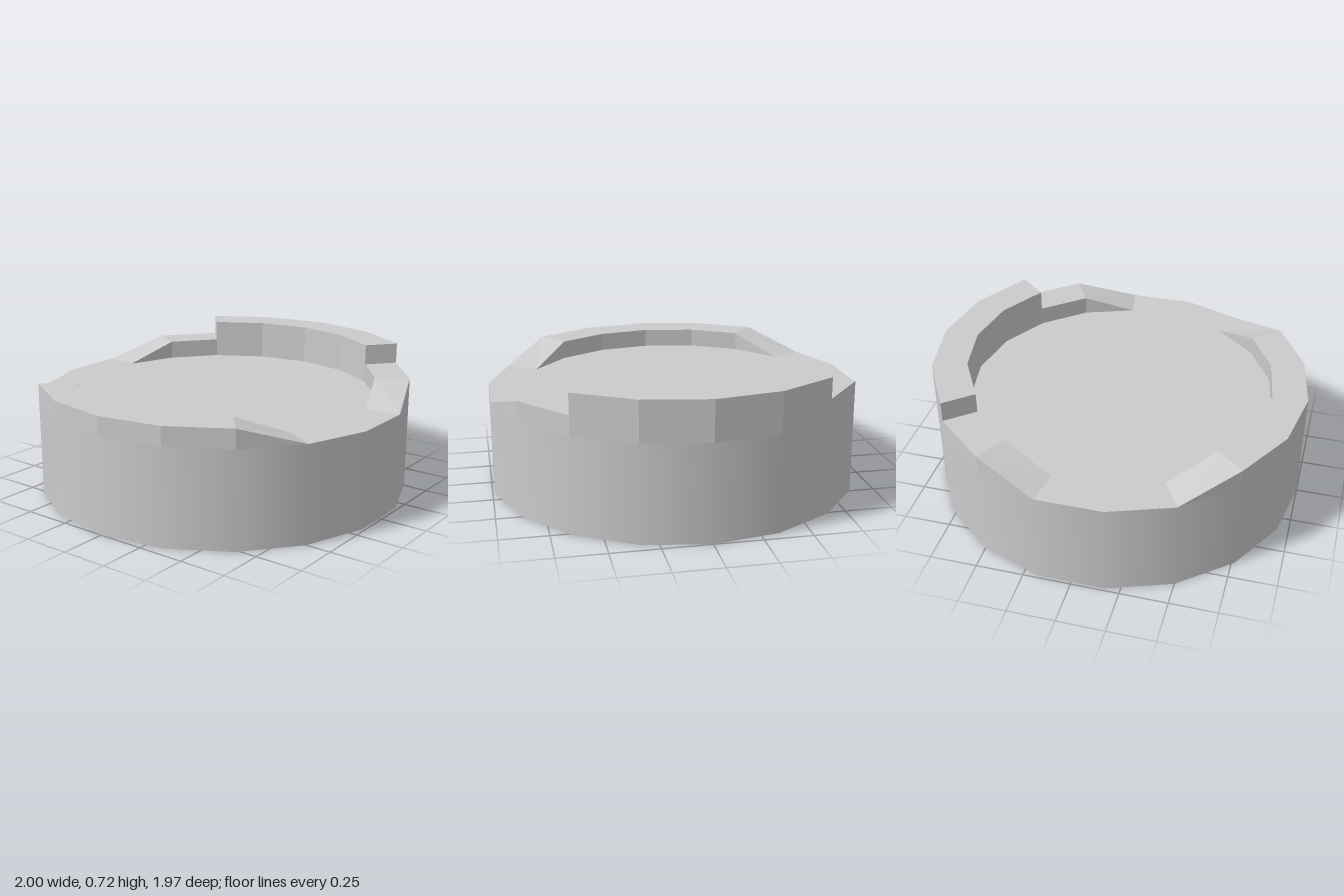
import * as THREE from 'three';

const SIDES = 18, OUTER = 1, INNER = 0.815;
const FLOOR = 0.51, LOW = 0.61, HIGH = 0.72;

// Point on the ring at side index i (20 degree steps from +x towards +z)
function at(i, r, y) {
  const a = (i / SIDES) * Math.PI * 2;
  return [r * Math.cos(a), y, r * Math.sin(a)];
}

// Rim strip from side index `start`; each segment is [height at its start, height at its end]
function rim(name, start, segments, capped, material) {
  const pos = [];
  const tri = (...pts) => pts.forEach((p) => pos.push(...p));
  const quad = (a, b, c, d) => { tri(a, b, c); tri(a, c, d); };
  segments.forEach(([h0, h1], k) => {
    const i = start + k, j = i + 1;
    const o0 = at(i, OUTER, h0), o1 = at(j, OUTER, h1);
    const n0 = at(i, INNER, h0), n1 = at(j, INNER, h1);
    const O0 = at(i, OUTER, FLOOR), O1 = at(j, OUTER, FLOOR);
    const N0 = at(i, INNER, FLOOR), N1 = at(j, INNER, FLOOR);
    // top
    tri(n0, o1, o0);
    tri(n0, n1, o1);
    // outer and inner walls; a ramp end tapers to a single triangle
    if (h1 === FLOOR) { tri(O0, o0, O1); tri(N0, N1, n0); }
    else if (h0 === FLOOR) { tri(O0, o1, O1); tri(N0, N1, n1); }
    else { quad(O0, o0, o1, O1); quad(N0, N1, n1, n0); }
  });
  // upright end faces
  if (capped) {
    const e = start + segments.length;
    quad(at(start, INNER, LOW), at(start, INNER, HIGH), at(start, OUTER, HIGH), at(start, OUTER, LOW));
    quad(at(e, OUTER, LOW), at(e, OUTER, HIGH), at(e, INNER, HIGH), at(e, INNER, LOW));
  }
  const geo = new THREE.BufferGeometry();
  geo.setAttribute('position', new THREE.Float32BufferAttribute(pos, 3));
  geo.computeVertexNormals();
  const mesh = new THREE.Mesh(geo, material);
  mesh.name = name;
  return mesh;
}

export function createModel() {
  const group = new THREE.Group();
  group.name = 'rimmedDisc';
  const smooth = new THREE.MeshStandardMaterial({ color: 0xcccccc });
  const flat = new THREE.MeshStandardMaterial({ color: 0xcccccc, flatShading: true });

  // Solid drum with a flat floor on top
  const drum = new THREE.Mesh(
    new THREE.CylinderGeometry(OUTER, OUTER, FLOOR, SIDES, 1, false, Math.PI / 2), smooth);
  drum.position.y = FLOOR / 2;
  drum.name = 'drum';
  group.add(drum);

  // Tall wall on +x, with a lower shoulder and ramp at each end
  group.add(rim('tallWall', -2, Array(4).fill([HIGH, HIGH]), true, flat));
  group.add(rim('frontShoulder', 2, [[LOW, LOW], [LOW, FLOOR]], false, flat));
  group.add(rim('backShoulder', -4, [[FLOOR, LOW], [LOW, LOW]], false, flat));

  // Low wall on -x, ramped at both ends
  const level = [LOW, LOW];
  group.add(rim('lowWall', 6, [[FLOOR, LOW], level, level, level, level, [LOW, FLOOR]], false, flat));

  return group;
}
